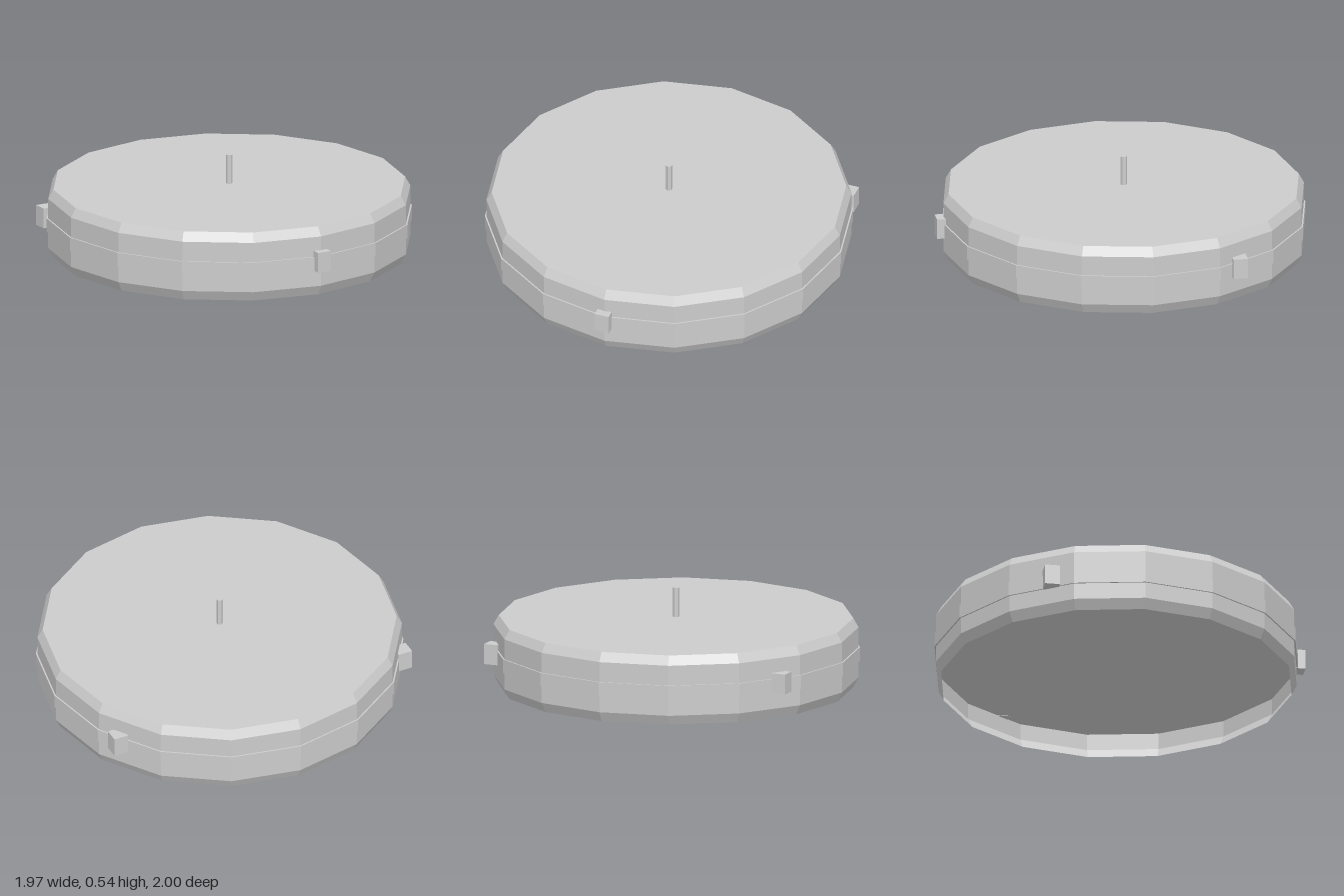
import * as THREE from 'three';

const SIDES = 16;
const CENTRE_Z = -0.017;

export function createModel() {
  const model = new THREE.Group();
  const grey = new THREE.MeshStandardMaterial({
    color: 0xcccccc, flatShading: true, side: THREE.DoubleSide,
  });
  grey.name = 'grey';

  const add = (name, geometry, x, y, z) => {
    const mesh = new THREE.Mesh(geometry, grey);
    mesh.name = name;
    mesh.position.set(x, y, CENTRE_Z + z);
    model.add(mesh);
  };

  // Chamfered shell, closed on top and open underneath
  const profile = [[0.947, 0], [0.975, 0.054], [0.975, 0.328], [0.947, 0.378], [0, 0.378]]
    .map(([r, y]) => new THREE.Vector2(r, y));
  add('body', new THREE.LatheGeometry(profile, SIDES), 0, 0, 0);

  // Solid disc whose edge forms the rim band and whose underside closes the shell
  add('rimBand', new THREE.CylinderGeometry(0.983, 0.983, 0.075, SIDES), 0, 0.182, 0);

  // Thin six-sided pin on top
  add('centrePin', new THREE.CylinderGeometry(0.018, 0.018, 0.175, 6), 0, 0.45, 0);

  // Three square lugs spaced evenly around the rim
  ['frontLug', 'backLeftLug', 'backRightLug'].forEach((name, i) => {
    const a = (i * Math.PI * 2) / 3;
    add(name, new THREE.BoxGeometry(0.08, 0.11, 0.08), Math.sin(a) * 0.976, 0.197, Math.cos(a) * 0.976);
  });

  return model;
}
